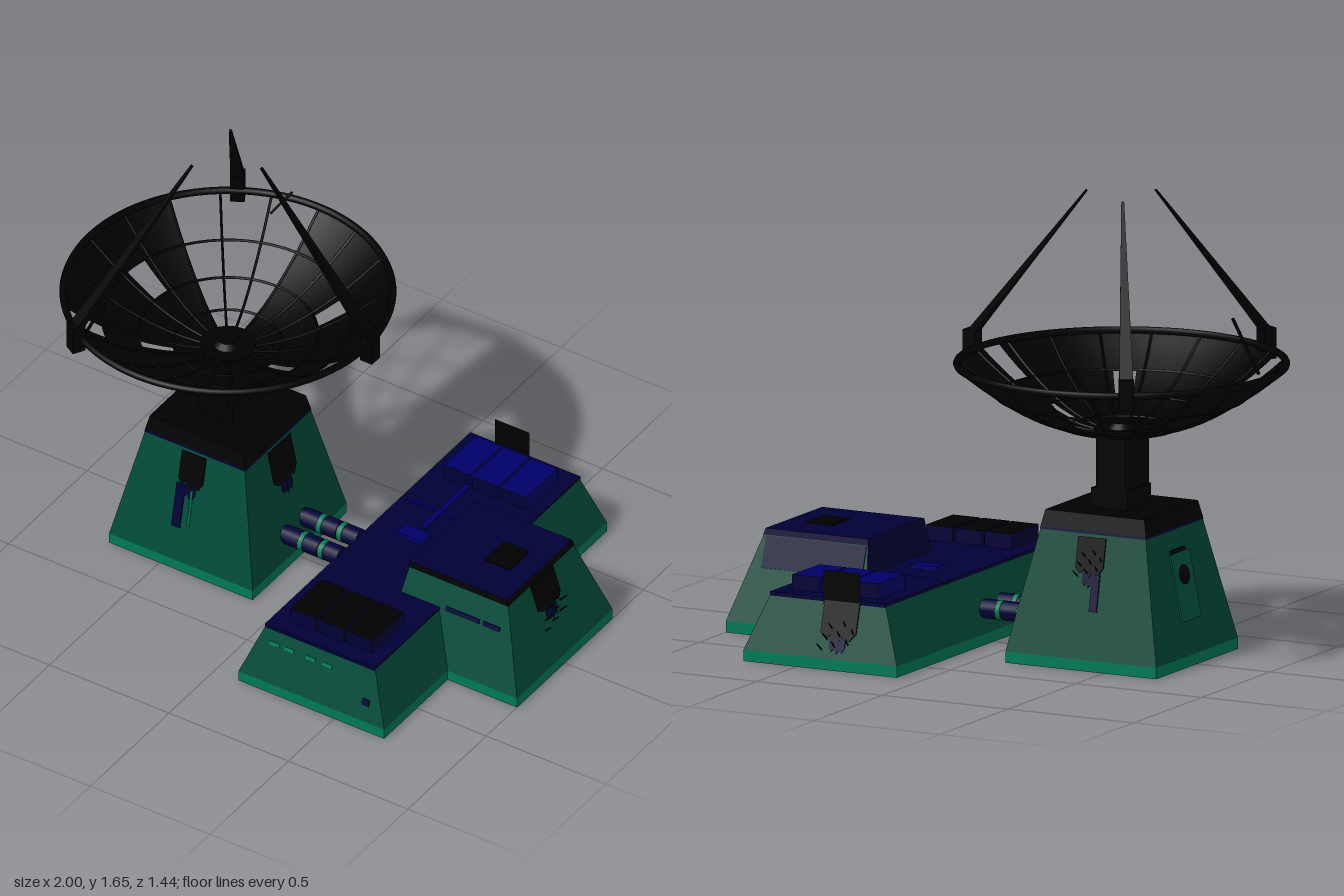
import * as THREE from 'three';
import { mergeGeometries } from 'three/addons/utils/BufferGeometryUtils.js';

const mat = (name, color, side = THREE.FrontSide) => {
  const m = new THREE.MeshStandardMaterial({ color, side });
  m.name = name;
  return m;
};

export function createModel() {
  const model = new THREE.Group();
  const green = mat('wall green', 0x004a38);
  const bright = mat('plinth green', 0x007a57);
  const doorGreen = mat('door green', 0x005642);
  const navy = mat('roof navy', 0x000036);
  const underside = mat('underside navy', 0x040054);
  const blue = mat('panel blue', 0x000068);
  const black = mat('charcoal', 0x000000, THREE.DoubleSide);

  const add = (parent, name, geo, material, x = 0, y = 0, z = 0) => {
    const m = new THREE.Mesh(geo, material);
    m.name = name;
    m.position.set(x, y, z);
    parent.add(m);
    return m;
  };
  const group = (parent, name) => {
    const g = new THREE.Group();
    g.name = name;
    parent.add(g);
    return g;
  };
  const box = (parent, name, material, x0, x1, y0, y1, z0, z1) =>
    add(parent, name, new THREE.BoxGeometry(x1 - x0, y1 - y0, z1 - z0), material,
      (x0 + x1) / 2, (y0 + y1) / 2, (z0 + z1) / 2);

  // Block whose top and bottom are different rectangles [x0, x1, z0, z1]
  const taper = (y0, y1, bottom, top) => {
    const g = new THREE.BoxGeometry(1, 1, 1);
    const p = g.attributes.position;
    for (let i = 0; i < p.count; i++) {
      const r = p.getY(i) > 0 ? top : bottom;
      p.setXYZ(i, p.getX(i) < 0 ? r[0] : r[1], p.getY(i) > 0 ? y1 : y0, p.getZ(i) < 0 ? r[2] : r[3]);
    }
    g.computeVertexNormals();
    return g;
  };
  const rod = (parent, name, material, a, b, r) => {
    const from = new THREE.Vector3(...a), to = new THREE.Vector3(...b);
    const d = to.clone().sub(from);
    const m = add(parent, name, new THREE.CylinderGeometry(r, r, d.length(), 6), material);
    m.position.copy(from).addScaledVector(d, 0.5);
    m.quaternion.setFromUnitVectors(new THREE.Vector3(0, 1, 0), d.normalize());
  };
  // Group lying on a sloped wall: local x along it, y up it, z outward
  const onWall = (name, x, y, z, turn, slope) => {
    const g = group(model, name);
    g.position.set(x, y, z);
    g.rotation.set(-slope, turn, 0, 'YXZ');
    return g;
  };
  // Equipment patch with a ragged lower edge and a navy fringe
  const ragged = (wall, name, material, w, y0, y1, depth) => {
    const s = new THREE.Shape();
    s.moveTo(-w / 2, y1);
    const drops = [0.2, 0.08, 0.2, 0, 0.15, 0.05, 0.25];
    drops.forEach((d, i) => s.lineTo(-w / 2 + w * i / 6, y0 + d * (y1 - y0)));
    s.lineTo(w / 2, y1);
    add(wall, name, new THREE.ExtrudeGeometry(s, { depth, bevelEnabled: false }), material);
  };
  const drape = (wall, w, y0, y1) => {
    ragged(wall, 'ragged patch', black, w, y0, y1, 0.006);
    ragged(wall, 'navy fringe', navy, w * 0.45, y0 - 0.04, y0 + 0.05, 0.004);
  };
  // Slanting wire ends hanging out of a patch
  const wires = (wall, w, y0, y1) => {
    for (let i = 0; i < 8; i++) {
      const x = w * (i / 7 - 0.5) * 0.9, y = y0 + (y1 - y0) * ((i * 3) % 8) / 8;
      rod(wall, 'loose wire', black, [x, y, 0], [x * 1.1, y + 0.018, 0.032], 0.0025);
    }
  };

  // Plinths with navy undersides
  const plinthMats = [bright, bright, bright, underside, bright, bright];
  box(model, 'towerPlinth', plinthMats, -0.71, -0.11, 0, 0.04, -0.3, 0.3);
  box(model, 'hallPlinth', plinthMats, 0.1, 0.71, 0, 0.04, -0.71, 0.71);
  box(model, 'annexPlinth', plinthMats, 0.71, 1, 0, 0.04, -0.305, 0.305);

  // Tower
  const cx = -0.41;
  const sq = (h) => [cx - h, cx + h, -h, h];
  add(model, 'towerWalls', taper(0.04, 0.48, sq(0.3), sq(0.208)), green);
  add(model, 'towerTrim', taper(0.472, 0.484, sq(0.211), sq(0.209)), navy);
  add(model, 'towerCap', taper(0.48, 0.54, sq(0.21), sq(0.197)), black);
  const gear = onWall('towerFrontGear', cx, 0.04, 0.3, 0, 0.207);
  drape(gear, 0.1, 0.29, 0.43);
  box(gear, 'navy cable', navy, -0.055, -0.02, 0.13, 0.3, 0, 0.006);
  rod(gear, 'thin cable', bright, [0.01, 0.29, 0.004], [0.012, 0.15, 0.004], 0.005);
  const back = onWall('towerBackGear', cx, 0.04, -0.3, Math.PI, 0.207);
  drape(back, 0.11, 0.29, 0.43);
  wires(back, 0.1, 0.29, 0.38);
  box(back, 'navy cable', navy, 0.015, 0.045, 0.17, 0.3, 0, 0.006);
  drape(onWall('towerSideGear', cx + 0.3, 0.04, 0, Math.PI / 2, 0.207), 0.14, 0.27, 0.43);
  const door = onWall('towerDoor', cx - 0.3, 0.04, 0, -Math.PI / 2, 0.207);
  box(door, 'door panel', doorGreen, -0.07, 0.07, 0.12, 0.36, 0, 0.006);
  box(door, 'door lintel', black, -0.06, 0.04, 0.36, 0.375, 0, 0.007);
  add(door, 'hatch', new THREE.CylinderGeometry(0.035, 0.035, 0.009, 16).rotateX(Math.PI / 2), black, 0, 0.28, 0.005);

  // Column and collar
  box(model, 'columnFoot', black, cx - 0.07, cx + 0.075, 0.54, 0.61, -0.085, 0.085);
  box(model, 'column', black, cx - 0.062, cx + 0.055, 0.54, 0.8, -0.085, 0.085);
  add(model, 'collar', new THREE.CylinderGeometry(0.1, 0.065, 0.06, 20), black, cx, 0.785, 0);

  // Dish: panels between ribs and rings, some missing or torn
  const dish = group(model, 'dish');
  dish.position.x = cx;
  const height = (r) => 0.79 + 0.25 * (r / 0.585) ** 2;
  const rings = [0, 0.07, 0.19, 0.315, 0.44, 0.585];
  const step = Math.PI / 10;
  const gaps = { '2,3': 0.6, '9,3': 0.65, '16,3': 0.6, '12,4': 0.45, '19,4': 0.5, '12,2': 0.3, '19,2': 0.3 };
  const panels = [];
  const panel = (i, k, a, b) => {
    const pts = [];
    for (let j = 0; j <= 3; j++) {
      const r = rings[k] + (rings[k + 1] - rings[k]) * j / 3;
      pts.push(new THREE.Vector2(r, height(r)));
    }
    panels.push(new THREE.LatheGeometry(pts, 3, (i + a) * step + Math.PI / 2, (b - a) * step));
  };
  for (let i = 0; i < 20; i++) for (let k = 0; k < 5; k++) {
    if (k > 0 && i >= 5 && i <= 7) continue;
    const gap = gaps[i + ',' + k];
    if (gap) {
      panel(i, k, 0, (1 - gap) / 2);
      panel(i, k, (1 + gap) / 2, 1);
    } else panel(i, k, 0, 1);
  }
  add(dish, 'dishPanels', mergeGeometries(panels), black);
  const frame = [];
  for (let i = 0; i < 20; i++) {
    const pts = [0.05, 0.2, 0.33, 0.46, 0.58].map((r) => new THREE.Vector3(r, height(r), 0));
    frame.push(new THREE.TubeGeometry(new THREE.CatmullRomCurve3(pts), 10, 0.005, 5).rotateY(i * step));
  }
  for (const r of rings.slice(1, 5))
    frame.push(new THREE.TorusGeometry(r, 0.005, 5, 60).rotateX(Math.PI / 2).translate(0, height(r), 0));
  add(dish, 'dishRibs', mergeGeometries(frame), black);
  add(dish, 'dishRim', new THREE.TorusGeometry(0.577, 0.013, 8, 80).rotateX(Math.PI / 2), black, 0, 1.045, 0);
  add(dish, 'dishHub', new THREE.CylinderGeometry(0.035, 0.07, 0.04, 16), black, 0, 0.815, 0);

  // Three leaning masts on the rim
  for (let i = 0; i < 3; i++) {
    const arm = group(dish, 'mastArm');
    arm.rotation.y = i * Math.PI * 2 / 3;
    box(arm, 'mastBracket', black, 0.57, 0.62, 1.0, 1.11, -0.026, 0.026);
    const mast = add(arm, 'mast', taper(0, 0.725, [-0.013, 0.013, -0.025, 0.025],
      [-0.003, 0.003, -0.005, 0.005]), black, 0.6, 1.09, 0);
    mast.rotation.z = Math.atan2(0.46, 0.56);
  }
  rod(dish, 'brokenRod', black, [-0.34, 0.97, 0.38], [-0.26, 1.17, 0.335], 0.006);
  rod(dish, 'brokenRod', black, [-0.13, 1.03, -0.47], [-0.07, 1.12, -0.515], 0.005);

  // Pipes joining the tower and hall
  for (const z of [-0.06, 0.06]) {
    const pipe = group(model, 'pipe');
    pipe.position.set(0, 0.13, z);
    const tube = (name, r, l, m, x) => add(pipe, name, new THREE.CylinderGeometry(r, r, l, 14).rotateZ(Math.PI / 2), m, x);
    tube('pipe run', 0.032, 0.24, navy, -0.015);
    for (const x of [-0.09, -0.01, 0.075]) tube('pipe sleeve', 0.035, 0.06, navy, x);
    for (const x of [-0.05, 0.035]) tube('pipe band', 0.036, 0.018, bright, x);
  }

  // Hall
  add(model, 'hallWalls', taper(0.04, 0.235, [0.1, 0.71, -0.71, 0.71], [0.175, 0.635, -0.652, 0.652]), green);
  box(model, 'hallRoof', navy, 0.175, 0.635, 0.232, 0.246, -0.655, 0.655);
  for (const s of [-1, 1]) {
    const top = s > 0 ? black : blue, side = s > 0 ? navy : blue;
    for (let i = 0; i < 3; i++) {
      const x = 0.24 + i * 0.117;
      box(model, 'roofPanel', [side, side, top, navy, navy, navy], x, x + 0.107, 0.246, 0.3, s * 0.49 - 0.1, s * 0.49 + 0.1);
    }
  }
  box(model, 'roofDuct', blue, 0.33, 0.35, 0.246, 0.256, -0.4, -0.1);
  box(model, 'crossDuct', blue, 0.2, 0.46, 0.246, 0.252, -0.215, -0.205);
  box(model, 'ductBox', blue, 0.285, 0.39, 0.246, 0.262, -0.075, -0.02);
  add(model, 'rearPanel', new THREE.PlaneGeometry(0.145, 0.125), black, 0.3475, 0.2825, -0.658);
  const hallBack = onWall('hallBackGear', 0.345, 0.04, -0.71, Math.PI, 0.285);
  drape(hallBack, 0.14, 0.06, 0.205);
  wires(hallBack, 0.13, 0.03, 0.13);
  const front = onWall('hallFrontDetails', 0.405, 0.04, 0.71, 0, 0.285);
  for (const x of [-0.18, -0.12, -0.03, 0.04]) box(front, 'window', bright, x - 0.02, x + 0.02, 0.145, 0.158, 0, 0.003);
  box(front, 'vent', navy, 0.2, 0.23, 0.06, 0.085, 0, 0.003);

  // Annex
  add(model, 'annexWalls', taper(0.04, 0.345, [0.44, 1, -0.305, 0.305], [0.487, 0.9, -0.208, 0.208]),
    [green, navy, navy, navy, green, green]);
  add(model, 'annexRoof', taper(0.343, 0.366, [0.484, 0.902, -0.211, 0.211], [0.488, 0.894, -0.207, 0.207]),
    [black, navy, navy, navy, black, navy]);
  box(model, 'roofHatch', black, 0.705, 0.81, 0.366, 0.372, -0.065, 0.06);
  const annexSide = onWall('annexSideGear', 1, 0.04, 0, Math.PI / 2, 0.317);
  drape(annexSide, 0.14, 0.19, 0.318);
  wires(annexSide, 0.13, 0.13, 0.22);
  const annexFront = onWall('annexWindows', 0.76, 0.04, 0.305, 0, 0.308);
  for (const x of [-0.07, 0, 0.085])
    box(annexFront, 'window slot', navy, x - 0.03, x + 0.04, 0.213, 0.23, 0, 0.004);
  const annexBack = onWall('annexBackCladding', 0.69, 0.04, -0.305, Math.PI, 0.308);
  box(annexBack, 'upper cladding', navy, -0.2, 0.2, 0.2, 0.315, 0, 0.004);
  return model;
}
